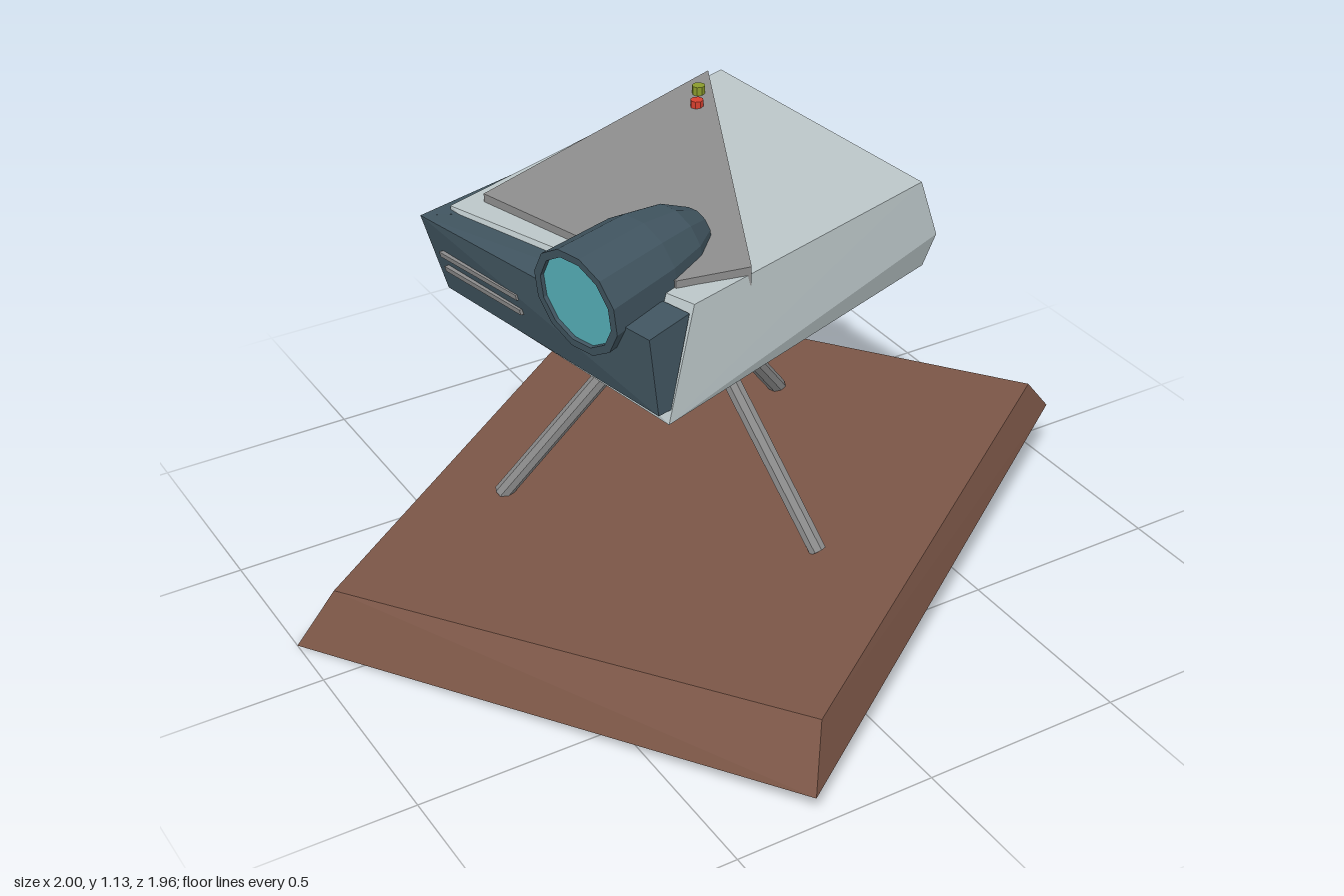
import * as THREE from 'three';
import { ConvexGeometry } from 'three/addons/geometries/ConvexGeometry.js';

const V = (x, y, z) => new THREE.Vector3(x, y, z);
const paint = (color) => new THREE.MeshStandardMaterial({ color, flatShading: true });
const COLORS = {
  wood: paint(0x7a5546), shell: paint(0xb9c4c6), dark: paint(0x40545f),
  grey: paint(0x8c8c8c), black: paint(0x333333), glass: paint(0x58b4bd),
  red: paint(0xd8402f), green: paint(0x8a9a2c), yellow: paint(0xe0c020), blue: paint(0x2090d0),
};

function add(parent, name, geometry, material, pos) {
  const mesh = new THREE.Mesh(geometry, material);
  mesh.name = name;
  if (pos) mesh.position.set(...pos);
  parent.add(mesh);
  return mesh;
}

// Faceted solid spanned by corner points
const hull = (parent, name, material, pts) =>
  add(parent, name, new ConvexGeometry(pts.map((p) => (p.isVector3 ? p : V(...p)))), material);

// Rod between two points
function rod(parent, name, a, b, r0, r1, sides, material) {
  const dir = b.clone().sub(a);
  const mesh = add(parent, name, new THREE.CylinderGeometry(r1, r0, dir.length(), sides), material);
  mesh.position.copy(a).add(b).multiplyScalar(0.5);
  mesh.quaternion.setFromUnitVectors(V(0, 1, 0), dir.normalize());
  return mesh;
}

export function createModel() {
  const model = new THREE.Group();
  model.name = 'cameraOnTripod';

  // Tilted plinth with bevelled sides
  hull(model, 'base', COLORS.wood, [
    [-1, 0, -0.15], [0.25, 0.12, -0.98], [1, 0.157, 0.11], [-0.29, 0.057, 0.98],
    [-0.905, 0.136, -0.13], [0.24, 0.208, -0.9], [0.925, 0.25, 0.12], [-0.22, 0.179, 0.89],
  ]);

  // Tripod
  const apex = V(-0.035, 0.765, 0);
  for (const foot of [V(-0.4, 0.165, -0.25), V(0.1, 0.198, 0.39), V(0.4, 0.216, -0.25)])
    rod(model, 'tripodLeg', foot, apex, 0.022, 0.022, 8, COLORS.grey);
  add(model, 'tripodHead', new THREE.CylinderGeometry(0.035, 0.03, 0.07, 8), COLORS.grey, [-0.035, 0.765, 0]);

  // Main housing
  hull(model, 'housing', COLORS.shell, [
    [0.315, 1.07, -0.4], [0.415, 1.043, 0.3], [-0.27, 1.0, 0.445], [-0.51, 1.0, -0.22],
    [0.355, 0.92, -0.39], [0.46, 0.9, 0.305],
    [0.355, 0.825, -0.395], [0.44, 0.815, 0.285], [-0.36, 0.755, 0.49], [-0.505, 0.78, -0.2],
  ]);

  // Dark front cap and the panel wrapping round the back side
  const capTopBack = V(-0.58, 0.99, -0.23), capLowBack = V(-0.53, 0.8, -0.21);
  const capTopFront = V(-0.4, 0.97, 0.48), capLowFront = V(-0.385, 0.785, 0.49);
  hull(model, 'frontCap', COLORS.dark, [
    capTopBack, capLowBack, capTopFront, capLowFront,
    [-0.48, 0.99, -0.22], [-0.47, 0.8, -0.2], [-0.285, 0.985, 0.45], [-0.35, 0.785, 0.482],
  ]);
  hull(model, 'sidePanel', COLORS.dark, [
    capTopBack, capLowBack, [-0.5, 0.99, -0.19], [-0.48, 0.8, -0.18],
    [-0.14, 1.0, -0.335], [-0.15, 0.845, -0.33], [-0.14, 1.0, -0.27], [-0.15, 0.845, -0.26],
  ]);

  // Vent strips on the cap
  const onCap = (u, v, lift) => capTopBack.clone().lerp(capLowBack, v)
    .lerp(capTopFront.clone().lerp(capLowFront, v), u).add(V(-lift, 0, 0));
  for (const v of [0.42, 0.62]) {
    const pts = [];
    for (const u of [0.06, 0.42]) for (const dv of [-0.035, 0.035]) for (const lift of [-0.01, 0.012])
      pts.push(onCap(u, v + dv, lift));
    hull(model, 'ventStrip', COLORS.grey, pts);
  }

  // Raised top plate with two buttons
  const plate = [[0.26, 1.092, -0.37], [-0.44, 1.025, -0.19], [-0.27, 1.02, 0.37], [-0.11, 1.03, 0.415]];
  hull(model, 'topPlate', COLORS.grey, plate.flatMap(([x, y, z]) => [[x, y, z], [x, y - 0.045, z]]));
  add(model, 'redButton', new THREE.CylinderGeometry(0.016, 0.016, 0.03, 8), COLORS.red, [0.15, 1.079, -0.24]);
  add(model, 'greenButton', new THREE.CylinderGeometry(0.016, 0.016, 0.03, 8), COLORS.green, [0.185, 1.088, -0.29]);

  // Lens barrel, turned around its own axis and aimed forward
  const lens = new THREE.Group();
  lens.name = 'lens';
  lens.position.set(-0.475, 0.993, 0.3);
  lens.quaternion.setFromUnitVectors(V(0, 1, 0), V(-0.955, -0.12, 0.24).normalize());
  model.add(lens);
  const profile = [[0, -0.37], [0.05, -0.36], [0.092, -0.29], [0.116, -0.19], [0.127, 0], [0.108, 0], [0.106, -0.02]];
  add(lens, 'lensBarrel', new THREE.LatheGeometry(profile.map(([r, y]) => new THREE.Vector2(r, y)), 12), COLORS.dark);
  add(lens, 'lensGlass', new THREE.CylinderGeometry(0.107, 0.107, 0.01, 12), COLORS.glass, [0, -0.014, 0]);

  // Control strip on the rear end, built facing local +z
  const rear = new THREE.Group();
  rear.name = 'rearControls';
  rear.position.set(0.408, 0.952, 0);
  rear.rotation.set(0, THREE.MathUtils.degToRad(98), 0.03, 'YXZ');
  model.add(rear);
  const box = (name, mat, x, y, z, w, h, d) => add(rear, name, new THREE.BoxGeometry(w, h, d), mat, [x, y, z]);
  box('controlStrip', COLORS.grey, 0.03, 0, -0.008, 0.425, 0.058, 0.05);
  box('blueSwitch', COLORS.blue, -0.13, 0, 0.02, 0.035, 0.026, 0.02);
  for (const x of [-0.065, -0.03, 0.005]) {
    const socket = add(rear, 'socket', new THREE.CylinderGeometry(0.013, 0.013, 0.018, 8), COLORS.black, [x, 0, 0.02]);
    socket.rotation.x = Math.PI / 2;
    const plug = add(rear, 'socketPlug', new THREE.CylinderGeometry(0.009, 0.009, 0.02, 8), COLORS.grey, [x, -0.002, 0.021]);
    plug.rotation.x = Math.PI / 2;
  }
  const knob = add(rear, 'yellowKnob', new THREE.CylinderGeometry(0.02, 0.02, 0.03, 10), COLORS.yellow, [0.105, 0.003, 0.02]);
  knob.rotation.x = Math.PI / 2;
  box('rearSocket', COLORS.dark, 0.323, -0.065, -0.005, 0.108, 0.072, 0.04);

  return model;
}
